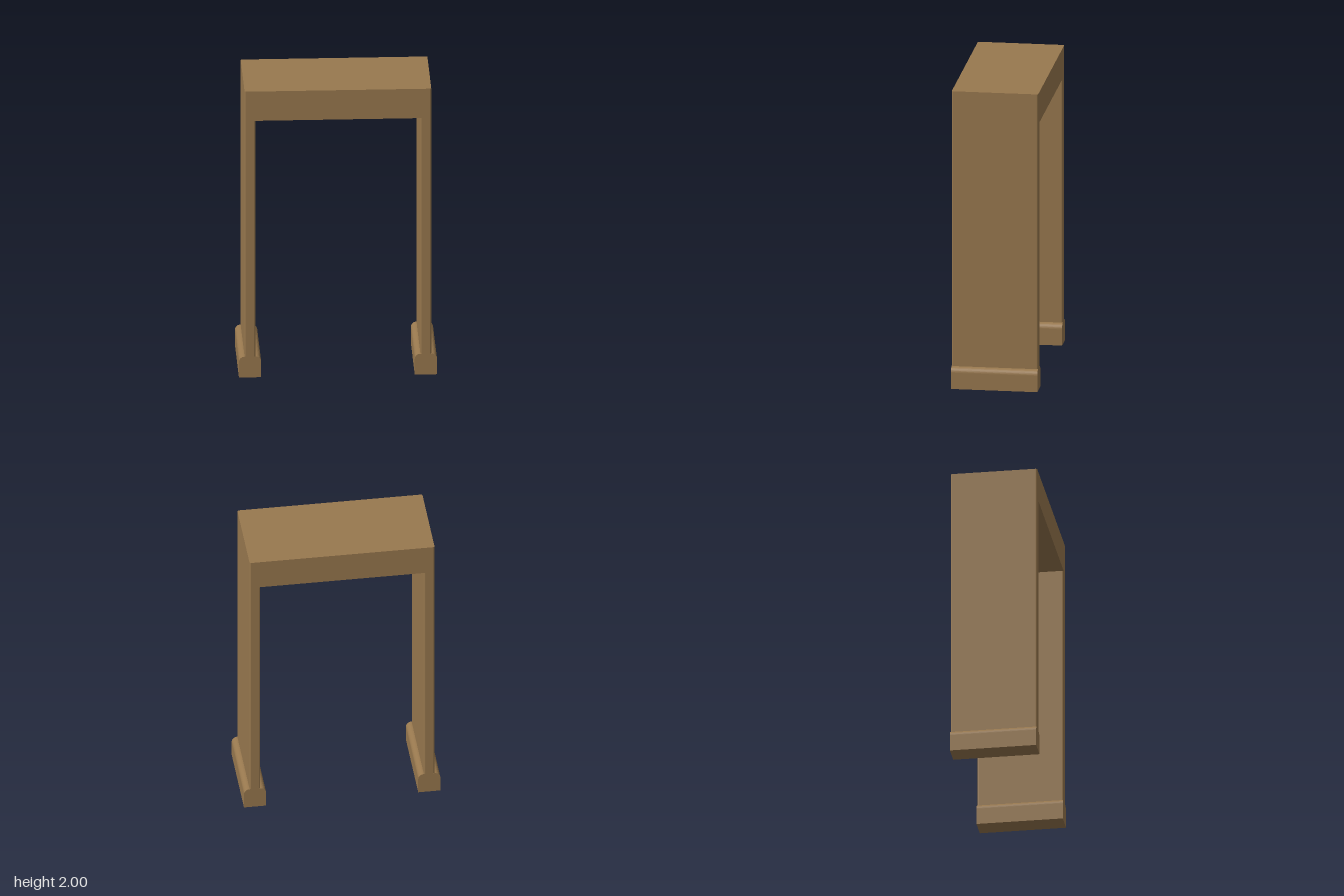
import * as THREE from 'three';

const DEPTH = 0.568;
const material = new THREE.MeshStandardMaterial({ color: 0x98784e, flatShading: true });

// Rectangle with rounded corners, in plan
function roundedRect(x0, x1, z0, z1, r) {
  const s = new THREE.Shape();
  s.moveTo(x0 + r, z0);
  s.lineTo(x1 - r, z0);
  s.absarc(x1 - r, z0 + r, r, -Math.PI / 2, 0);
  s.lineTo(x1, z1 - r);
  s.absarc(x1 - r, z1 - r, r, 0, Math.PI / 2);
  s.lineTo(x0 + r, z1);
  s.absarc(x0 + r, z1 - r, r, Math.PI / 2, Math.PI);
  s.lineTo(x0, z0 + r);
  s.absarc(x0 + r, z0 + r, r, Math.PI, Math.PI * 1.5);
  return s;
}

// Upright slab from a plan shape, between two heights
function slab(name, x0, x1, y0, y1) {
  const geo = new THREE.ExtrudeGeometry(roundedRect(x0, x1, -DEPTH / 2, DEPTH / 2, 0.01), {
    depth: y1 - y0, bevelEnabled: false, curveSegments: 3,
  });
  geo.rotateX(-Math.PI / 2).translate(0, y0, 0);
  const mesh = new THREE.Mesh(geo, material);
  mesh.name = name;
  return mesh;
}

// Plinth with rounded shoulders, running front to back
function plinth(name, x) {
  const w = 0.0725, h = 0.145, r = 0.036;
  const s = new THREE.Shape();
  s.moveTo(-w, 0);
  s.lineTo(w, 0);
  s.lineTo(w, h - r);
  s.absarc(w - r, h - r, r, 0, Math.PI / 2);
  s.lineTo(-w + r, h);
  s.absarc(-w + r, h - r, r, Math.PI / 2, Math.PI);
  const geo = new THREE.ExtrudeGeometry(s, { depth: DEPTH, bevelEnabled: false, curveSegments: 6 });
  geo.translate(0, 0, -DEPTH / 2);
  const mesh = new THREE.Mesh(geo, material);
  mesh.name = name;
  mesh.position.x = x;
  return mesh;
}

export function createModel() {
  const group = new THREE.Group();
  group.name = 'archway';

  // Side panels on plinths
  for (const [side, sign] of [['left', 1], ['right', -1]]) {
    const a = sign * 0.537, b = sign * 0.608;
    group.add(slab(side + 'Panel', Math.min(a, b), Math.max(a, b), 0.145, 1.795));
    group.add(plinth(side + 'Plinth', sign * 0.5725));
  }

  // Top beam joining the panels
  group.add(slab('topBeam', -0.608, 0.608, 1.795, 2));
  return group;
}
